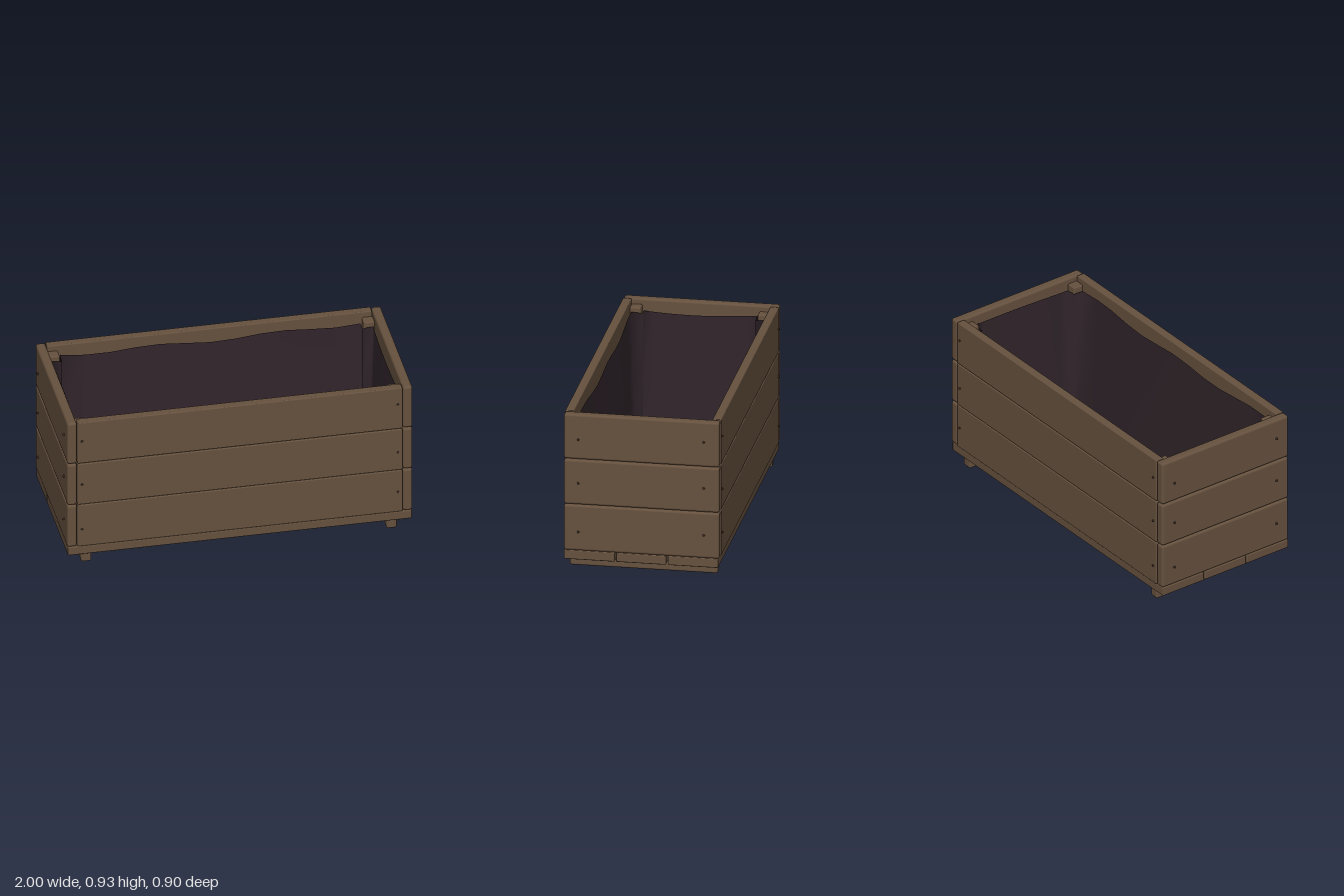
import * as THREE from 'three';
import { RoundedBoxGeometry } from 'three/addons/geometries/RoundedBoxGeometry.js';

export function createModel() {
  const root = new THREE.Group();
  root.name = 'planter';
  const material = (name, color, side = THREE.FrontSide) => {
    const m = new THREE.MeshStandardMaterial({ color, side });
    m.name = name;
    return m;
  };
  const wood = material('brown wood', 0x66513e);
  const liningDark = material('dark lining', 0x30242a, THREE.DoubleSide);
  const nailMetal = material('rusty nail', 0x4a382c);

  const add = (name, geometry, mat) => {
    const mesh = new THREE.Mesh(geometry, mat);
    mesh.name = name;
    root.add(mesh);
    return mesh;
  };
  // A softly rounded board given by its limits on each axis
  const board = (name, [x0, x1], [y0, y1], [z0, z1], r = 0.01) => {
    const g = new RoundedBoxGeometry(x1 - x0, y1 - y0, z1 - z0, 2, r);
    return add(name, g.translate((x0 + x1) / 2, (y0 + y1) / 2, (z0 + z1) / 2), wood);
  };

  // Three tiers of planks on all four sides
  const tiers = [[0.118, 0.39], [0.393, 0.66], [0.664, 0.932]];
  for (const y of tiers) {
    board('frontPlank', [-0.932, 0.932], y, [0.395, 0.445], 0.006);
    board('backPlank', [-0.932, 0.932], y, [-0.445, -0.395], 0.006);
    board('leftPlank', [0.935, 0.99], y, [-0.443, 0.443], 0.014);
    board('rightPlank', [-0.99, -0.935], y, [-0.443, 0.443], 0.014);
  }

  // Base boards, cross feet and corner posts
  for (const z of [[0.153, 0.442], [-0.14, 0.145], [-0.437, -0.15]])
    board('baseBoard', [-0.987, 0.987], [0.063, 0.117], z, 0.006);
  for (const s of [-1, 1]) {
    board('foot', s < 0 ? [-0.907, -0.848] : [0.845, 0.905], [0, 0.066], [-0.42, 0.423], 0.01);
    for (const t of [-1, 1]) {
      const x = s < 0 ? [-0.935, -0.872] : [0.872, 0.935];
      const z = t < 0 ? [-0.396, -0.333] : [0.333, 0.396];
      board('cornerPost', x, [0.117, 0.9], z, 0.008);
    }
  }

  // Nail heads, a pair on each plank
  const nail = (x, y, z, onEnd) => {
    const g = new THREE.CylinderGeometry(0.006, 0.008, 0.014, 8);
    if (onEnd) g.rotateZ(x > 0 ? -Math.PI / 2 : Math.PI / 2);
    else g.rotateX(z > 0 ? Math.PI / 2 : -Math.PI / 2);
    add('nail', g.translate(x, y, z), nailMetal);
  };
  const nailRows = [[0.23, 0.25], [0.525, 0.51], [0.81, 0.825]];
  const endRows = [[0.23, 0.255], [0.522, 0.537], [0.782, 0.812]];
  for (const s of [-1, 1]) {
    for (const [a, b] of nailRows) {
      nail(-0.907, a, s * 0.445, false);
      nail(0.905, b, s * 0.445, false);
    }
    for (const [a, b] of endRows) {
      nail(s * 0.992, a, s * 0.36, true);
      nail(s * 0.992, b, s * -0.356, true);
    }
  }

  // Sagging lining that steps around the posts: closed outline at a given inset
  const outline = (inset) => {
    const X = 0.926 - inset, Z = 0.388 - inset, cx = 0.862, cz = 0.323, n = 12;
    const points = [];
    for (let i = 0; i <= n; i++) {
      const x = -cx + (2 * cx * i) / n;
      points.push([x, Z - 0.014 * (1 - (x / cx) ** 2)]);
    }
    for (let i = 0; i <= n; i++) {
      const z = cz - (2 * cz * i) / n;
      points.push([X - 0.01 * (1 - (z / cz) ** 2), z]);
    }
    // Corner step sits between the two runs
    points.splice(n + 1, 0, [cx, cz]);
    points.push([cx, -cz]);
    return [...points, ...points.map(([x, z]) => [-x, -z])];
  };
  const levels = [[0.124, 0.028], [0.5, 0.014], [0.87, 0.003]];
  const positions = [], indices = [];
  const count = outline(0).length;
  levels.forEach(([y, inset], k) => {
    for (const [x, z] of outline(inset))
      positions.push(x, y + (k === 2 ? 0.012 * Math.sin(x * 9 + z * 5) : 0), z);
  });
  for (let k = 0; k < levels.length - 1; k++) {
    for (let i = 0; i < count; i++) {
      const a = k * count + i, b = k * count + ((i + 1) % count);
      indices.push(a, a + count, b, b, a + count, b + count);
    }
  }
  const wall = new THREE.BufferGeometry();
  wall.setAttribute('position', new THREE.Float32BufferAttribute(positions, 3));
  wall.setIndex(indices);
  wall.computeVertexNormals();
  add('liningWall', wall, liningDark);

  // Lining floor
  const floor = new THREE.PlaneGeometry(1.84, 0.77).rotateX(-Math.PI / 2).translate(0, 0.125, 0);
  add('liningFloor', floor, liningDark);

  return root;
}
